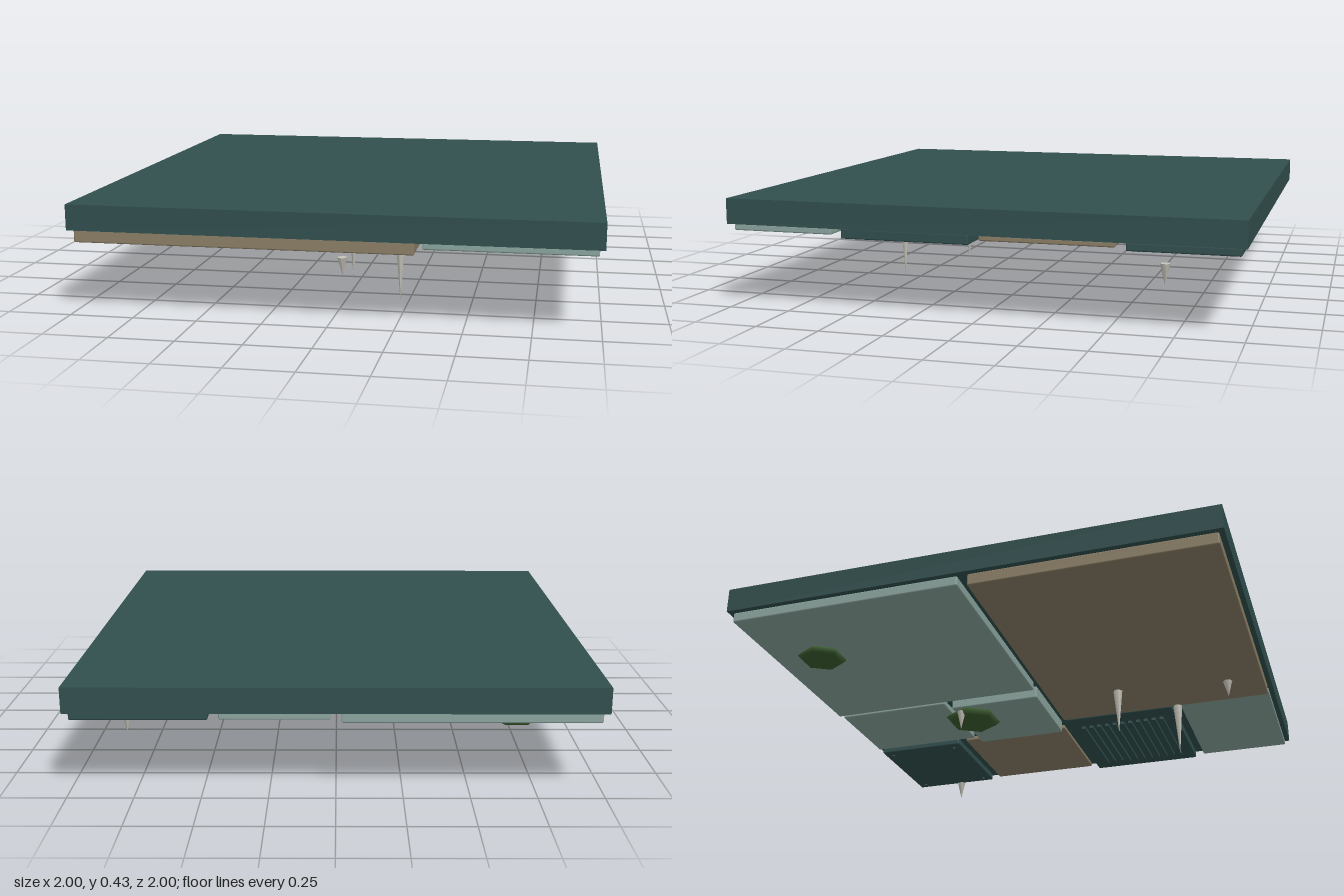
import * as THREE from 'three';
import { RoundedBoxGeometry } from 'three/addons/geometries/RoundedBoxGeometry.js';

function mat(name, color) {
  const m = new THREE.MeshStandardMaterial({ color });
  m.name = name;
  return m;
}

export function createModel() {
  const group = new THREE.Group();
  const slate = mat('darkSlate', 0x314f4e);
  const pale = mat('paleGreenStone', 0x8ba59e);
  const tan = mat('tanStone', 0x8b7e66);
  const moss = mat('mossGreen', 0x3c5c30);
  const drip = mat('paleMineral', 0xc6c4ba);

  const add = (name, geometry, material, x, y, z) => {
    const mesh = new THREE.Mesh(geometry, material);
    mesh.name = name;
    mesh.position.set(x, y, z);
    group.add(mesh);
    return mesh;
  };

  // Ceiling slab
  const slabBottom = 0.33;
  add('ceilingSlab', new THREE.BoxGeometry(2, 0.1, 2), slate, 0, slabBottom + 0.05, 0);

  // Panels hung under the slab: x range, z range, underside height
  const panels = [
    ['largeTanPanel', tan, -0.98, 0.32, 0.02, 0.98, 0.28],
    ['frontPalePanel', pale, 0.35, 0.98, 0.57, 0.98, 0.303],
    ['grillePanel', slate, 0.35, 0.98, 0.02, 0.53, 0.29],
    ['smallTanPanel', tan, 0.47, 0.98, -0.53, -0.02, 0.308],
    ['centrePalePanel', pale, 0.02, 0.43, -0.43, -0.02, 0.272],
    ['backPalePanel', pale, 0.02, 0.43, -0.98, -0.47, 0.3],
    ['largePalePanel', pale, -0.98, -0.02, -0.98, -0.02, 0.288],
    ['rivetedPanel', slate, 0.47, 0.98, -0.98, -0.57, 0.298],
  ];
  for (const [name, material, x0, x1, z0, z1, y0] of panels) {
    const h = slabBottom - y0;
    add(name, new RoundedBoxGeometry(x1 - x0, h, z1 - z0, 2, 0.006), material,
      (x0 + x1) / 2, y0 + h / 2, (z0 + z1) / 2);
  }

  // Grille slats
  const slat = new THREE.BoxGeometry(0.46, 0.014, 0.018);
  for (let i = 0; i < 11; i++) add('grilleSlat', slat, slate, 0.665, 0.285, 0.085 + i * 0.038);

  // Rivets in the panel corners
  const rivet = new THREE.CylinderGeometry(0.008, 0.008, 0.008, 8);
  for (const x of [0.51, 0.94])
    for (const z of [-0.94, -0.61]) add('rivet', rivet, slate, x, 0.296, z);

  // Flattened six-sided moss clumps: x, z, radius, half height
  for (const [x, z, r, h] of [[-0.69, -0.725, 0.1, 0.027], [0.08, -0.345, 0.125, 0.033]])
    add('mossClump', new THREE.SphereGeometry(1, 6, 6), moss, x, 0.231, z).scale.set(r, h, r);

  // Stalactites pointing down: x, z, tip height
  const drips = [
    [0.215, 0.585, 0], [-0.015, 0.365, 0.035], [0.03, 0.84, 0.16],
    [-0.02, -0.365, 0.145], [0.82, -0.685, 0.148],
  ];
  for (const [x, z, tip] of drips) {
    const h = 0.23 - tip;
    add('stalactite', new THREE.ConeGeometry(0.02, h, 6), drip, x, tip + h / 2, z).rotation.x = Math.PI;
  }

  return group;
}
